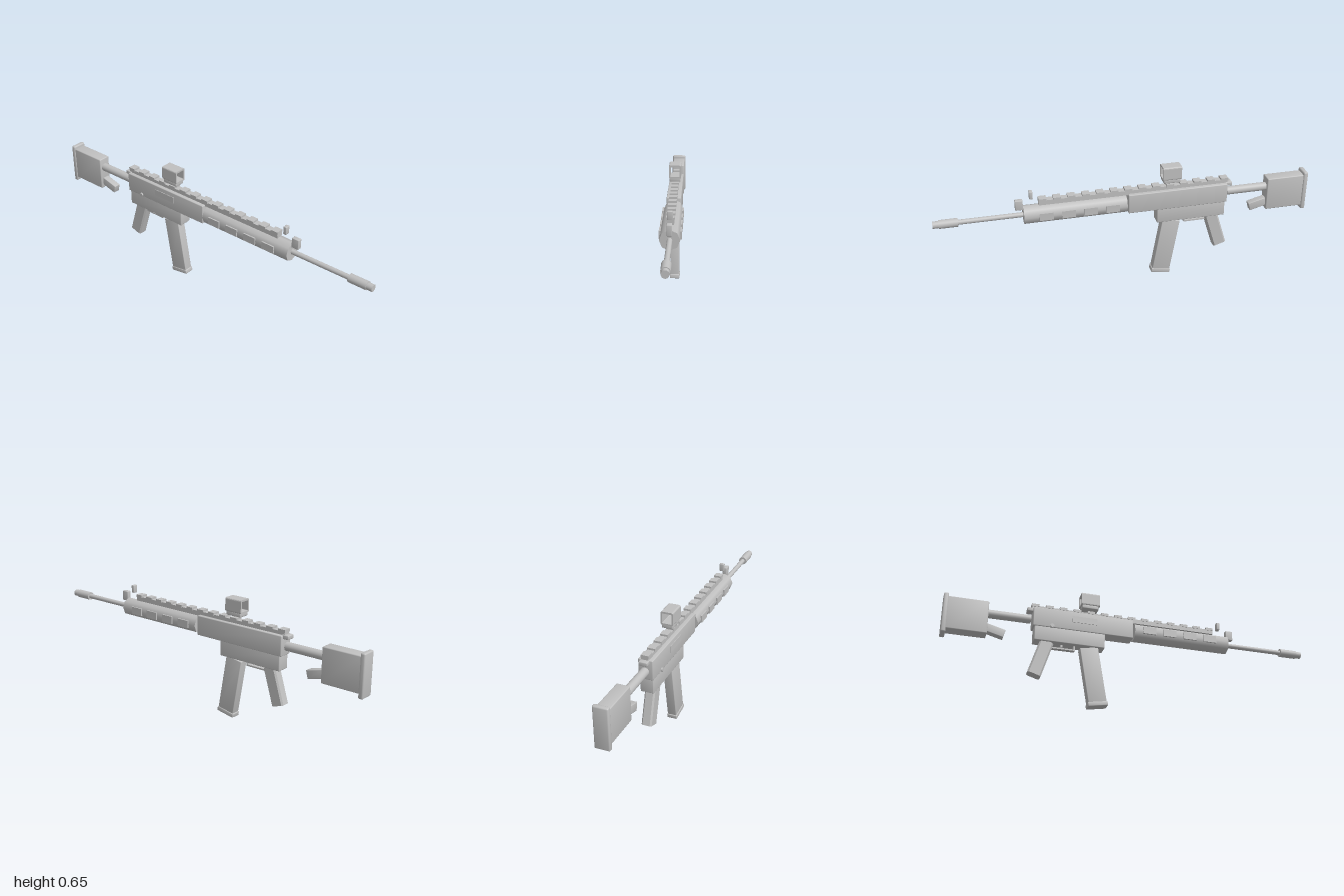
import * as THREE from 'three';
import { RoundedBoxGeometry } from 'three/addons/geometries/RoundedBoxGeometry.js';

export function createModel() {
  const model = new THREE.Group();
  const grey = new THREE.MeshStandardMaterial({ color: 0xc0c0c0 });
  grey.name = 'light grey';
  const AXIS = 0.457; // bore height

  function add(name, geo, x = 0, y = 0, z = 0, parent = model) {
    const mesh = new THREE.Mesh(geo, grey);
    mesh.name = name;
    mesh.position.set(x, y, z);
    parent.add(mesh);
    return mesh;
  }
  // Bevelled box whose normals lean slightly outward, for soft shading
  function softBox(w, h, d, r) {
    const geo = new RoundedBoxGeometry(w, h, d, 2, r);
    const { position, normal } = geo.attributes;
    const n = new THREE.Vector3();
    for (let i = 0; i < normal.count; i++) {
      n.fromBufferAttribute(position, i);
      n.set(Math.sign(n.x), Math.sign(n.y), Math.sign(n.z)).multiplyScalar(0.15);
      n.x += normal.getX(i);
      n.y += normal.getY(i);
      n.z += normal.getZ(i);
      n.normalize();
      normal.setXYZ(i, n.x, n.y, n.z);
    }
    return geo;
  }
  // Box given by its width and its y and z ranges; r rounds the edges
  function block(name, w, y0, y1, z0, z1, r = 0, x = 0) {
    const h = y1 - y0, d = z1 - z0;
    const geo = r ? softBox(w, h, d, r) : new THREE.BoxGeometry(w, h, d);
    return add(name, geo, x, (y0 + y1) / 2, (z0 + z1) / 2);
  }
  // Cylinder lying along the bore
  function rod(name, r, z0, z1, sides = 32) {
    const geo = new THREE.CylinderGeometry(r, r, z1 - z0, sides).rotateX(Math.PI / 2);
    return add(name, geo, 0, AXIS, (z0 + z1) / 2);
  }

  // Barrel and muzzle
  rod('barrel', 0.013, 0.5, 0.9);
  rod('muzzleBrake', 0.0225, 0.873, 0.97);
  rod('muzzleTip', 0.0185, 0.96, 1);

  // Eight-sided handguard, smoothly shaded, with side panels
  rod('handguard', 0.05, 0.008, 0.545, 8);
  for (const side of [-1, 1]) {
    for (let i = 0; i < 4; i++) {
      const z = 0.088 + i * 0.115;
      block('handguardPanel', 0.008, 0.438, 0.478, z - 0.036, z + 0.036, 0, side * 0.051);
    }
  }

  // Receiver
  block('upperReceiver', 0.076, 0.409, 0.515, -0.54, 0, 0.004);
  block('lowerReceiver', 0.069, 0.33, 0.415, -0.53, -0.155, 0.004);
  block('ejectionPort', 0.006, 0.455, 0.49, -0.335, -0.2, 0, -0.038);
  const button = new THREE.CylinderGeometry(0.0105, 0.0105, 0.014, 20).rotateZ(Math.PI / 2);
  add('sideButton', button, -0.039, 0.418, -0.44);
  block('chargingHandle', 0.046, 0.496, 0.518, -0.57, -0.53, 0.004);

  // Top rail with teeth
  block('railBase', 0.036, 0.508, 0.533, -0.545, 0.465);
  for (let i = 0; i < 14; i++) {
    const z = 0.445 - i * 0.0748;
    block('railTooth', 0.041, 0.528, 0.543, z - 0.02, z + 0.02);
  }

  // Front sight
  block('frontSightBase', 0.025, 0.489, 0.543, 0.545, 0.585, 0.003);
  block('frontSightPost', 0.027, 0.544, 0.587, 0.493, 0.511, 0.003);

  // Open optic: a rounded frame on a foot
  function roundedRect(target, hw, y0, y1, r) {
    target.moveTo(-hw + r, y0);
    target.lineTo(hw - r, y0).quadraticCurveTo(hw, y0, hw, y0 + r);
    target.lineTo(hw, y1 - r).quadraticCurveTo(hw, y1, hw - r, y1);
    target.lineTo(-hw + r, y1).quadraticCurveTo(-hw, y1, -hw, y1 - r);
    target.lineTo(-hw, y0 + r).quadraticCurveTo(-hw, y0, -hw + r, y0);
    return target;
  }
  const frame = roundedRect(new THREE.Shape(), 0.033, 0.573, 0.645, 0.009);
  frame.holes.push(roundedRect(new THREE.Path(), 0.025, 0.582, 0.635, 0.003));
  add('opticFrame', new THREE.ExtrudeGeometry(frame, { depth: 0.1, bevelEnabled: false, curveSegments: 5 }), 0, 0, -0.285);
  block('opticFoot', 0.059, 0.554, 0.577, -0.28, -0.19, 0.004);

  // Magazine, leaning forward at the bottom
  const magazine = new THREE.Group();
  magazine.name = 'magazine';
  magazine.position.set(0, 0.169, -0.21);
  magazine.rotation.x = -0.17;
  model.add(magazine);
  add('magazineBody', softBox(0.048, 0.304, 0.098, 0.003), 0, 0.008, 0, magazine);
  add('magazineBase', softBox(0.054, 0.024, 0.106, 0.004), 0, -0.153, 0, magazine);

  // Pistol grip with chamfered corners, leaning back
  const gw = 0.027, gd = 0.036, c = 0.008;
  const gripShape = new THREE.Shape([
    [gw - c, -gd], [gw, -gd + c], [gw, gd - c], [gw - c, gd],
    [c - gw, gd], [-gw, gd - c], [-gw, c - gd], [c - gw, -gd],
  ].map(([x, y]) => new THREE.Vector2(x, y)));
  const gripGeo = new THREE.ExtrudeGeometry(gripShape, { depth: 0.2, bevelEnabled: false });
  gripGeo.translate(0, 0, -0.1).rotateX(-Math.PI / 2);
  add('pistolGrip', gripGeo, 0, 0.238, -0.489).rotation.x = 0.3;

  // Trigger and guard
  block('triggerGuardBar', 0.022, 0.303, 0.311, -0.43, -0.31);
  block('triggerGuardPost', 0.022, 0.303, 0.335, -0.317, -0.31);
  block('trigger', 0.01, 0.316, 0.34, -0.385, -0.375);

  // Stock
  rod('bufferTube', 0.0225, -0.8, -0.548);
  block('stockBody', 0.068, 0.33, 0.513, -0.98, -0.77, 0.005);
  block('buttPad', 0.078, 0.308, 0.529, -1, -0.975, 0.007);
  const lever = add('stockLever', softBox(0.038, 0.045, 0.098, 0.003), 0, 0.36, -0.728);
  lever.rotation.x = 0.26;

  return model;
}
